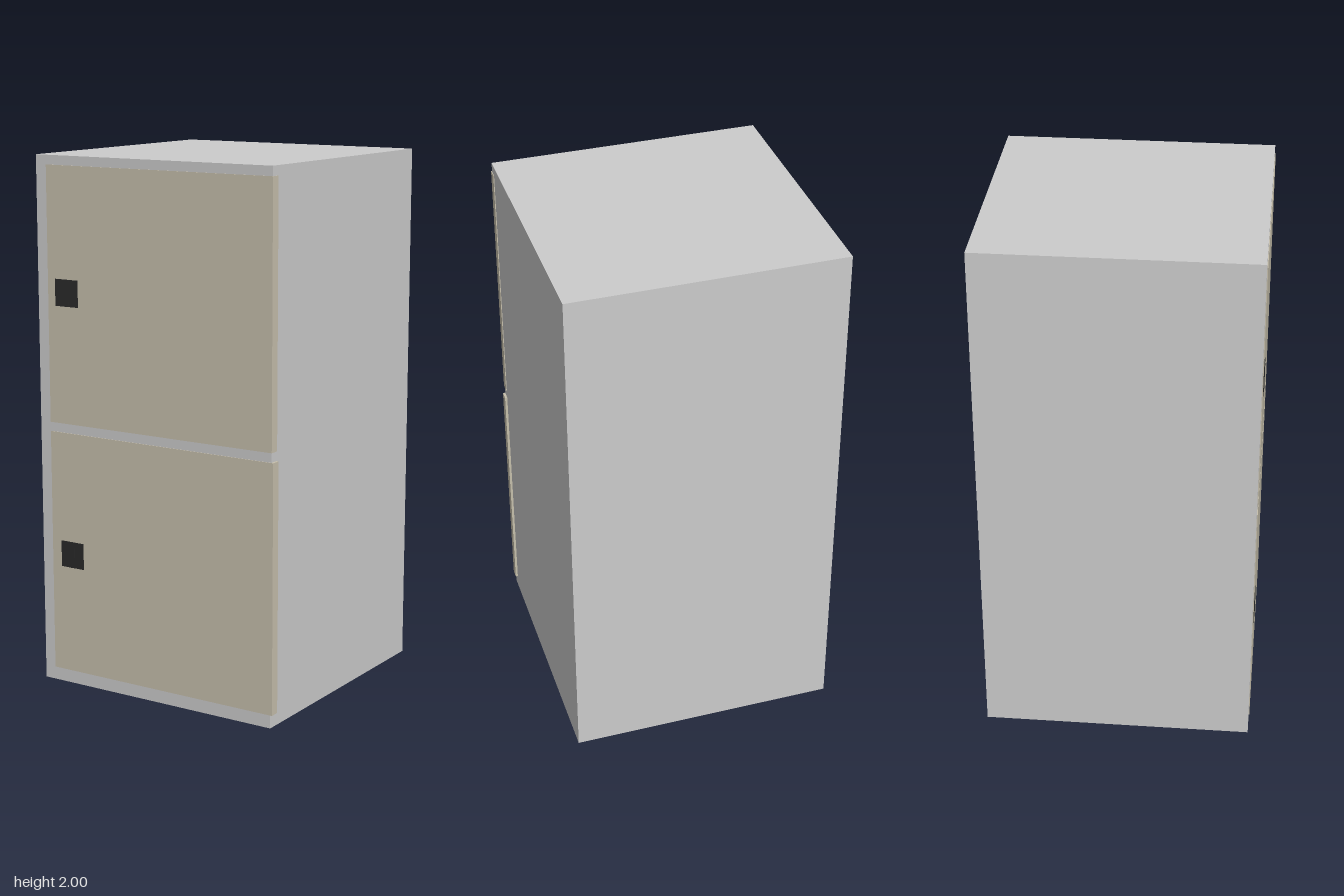
import * as THREE from 'three';

const grey = new THREE.MeshStandardMaterial({ color: 0xcccccc });
const beige = new THREE.MeshStandardMaterial({ color: 0xc6bfac });
const black = new THREE.MeshStandardMaterial({ color: 0x2a2a2a });

// Box given by its minimum and maximum corners
function box(name, material, [x0, y0, z0], [x1, y1, z1]) {
  const mesh = new THREE.Mesh(new THREE.BoxGeometry(x1 - x0, y1 - y0, z1 - z0), material);
  mesh.position.set((x0 + x1) / 2, (y0 + y1) / 2, (z0 + z1) / 2);
  mesh.name = name;
  return mesh;
}

// Door panel with a square latch made of two plates and a raised centre bar
function door(name, right, bottom, top, latchX, latchY) {
  const group = new THREE.Group();
  group.name = name;
  group.add(box('doorPanel', beige, [-0.465, bottom, 0.47], [right, top, 0.506]));
  for (const side of [-1, 1]) {
    const x = latchX + side * 0.031;
    group.add(box('latchPlate', black, [x - 0.02, latchY - 0.05, 0.48], [x + 0.02, latchY + 0.05, 0.508]));
  }
  group.add(box('latchBar', black, [latchX - 0.011, latchY - 0.05, 0.48], [latchX + 0.011, latchY + 0.05, 0.509]));
  return group;
}

export function createModel() {
  const model = new THREE.Group();
  model.name = 'twoDoorLocker';

  // Cabinet body
  model.add(box('cabinet', grey, [-0.512, 0, -0.508], [0.5, 2, 0.503]));

  // Doors, standing slightly proud of the front and the hinge side
  model.add(door('upperDoor', 0.503, 1.01, 1.965, -0.38, 1.5));
  model.add(door('lowerDoor', 0.509, 0.05, 0.975, -0.372, 0.508));
  return model;
}
